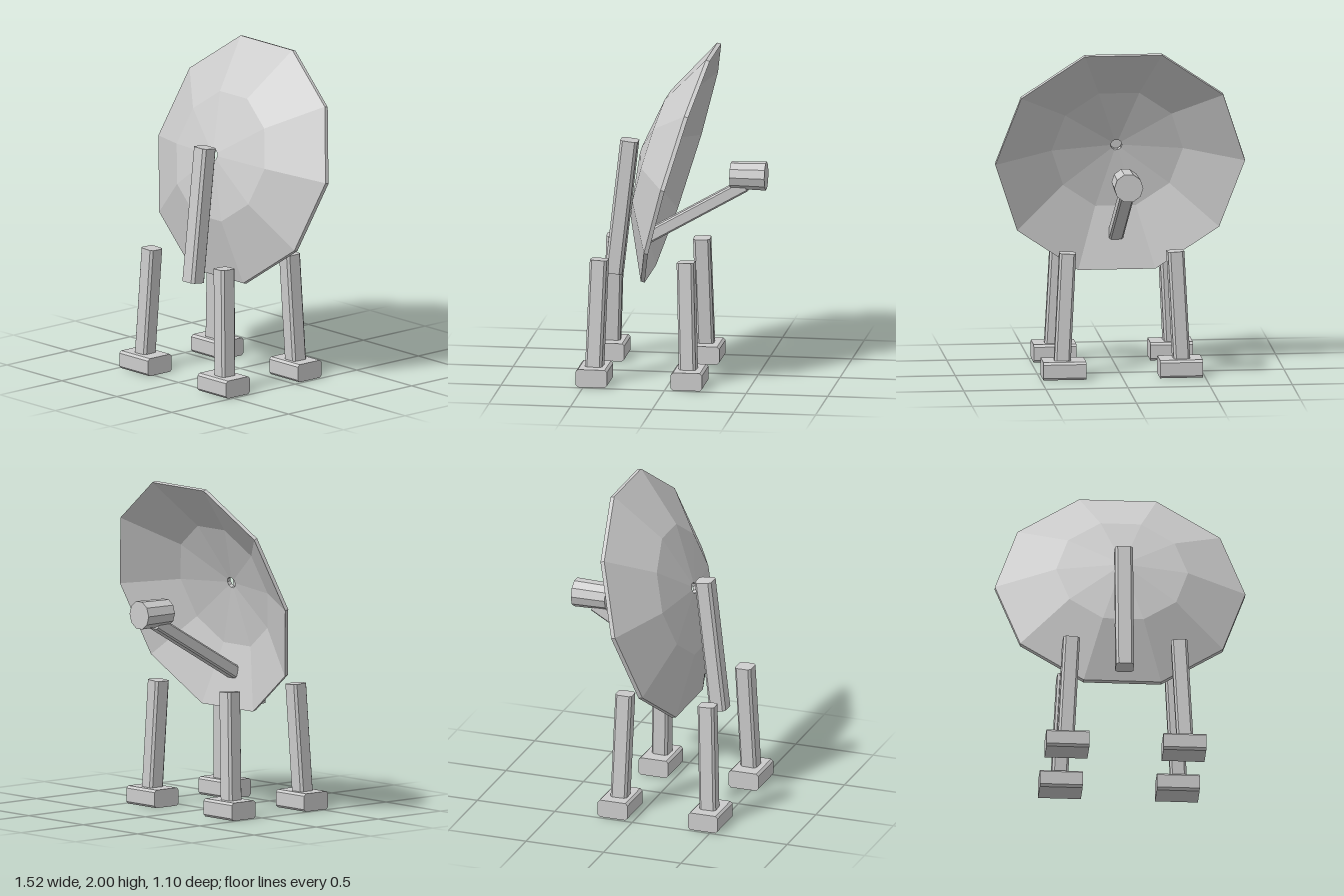
import * as THREE from 'three';

const grey = new THREE.MeshStandardMaterial({ color: 0xcccccc, flatShading: true });
grey.name = 'grey metal';

// Bar with chamfered long edges, running from one point to another
function bar(name, from, to, w, h, c = 0.014) {
  const a = new THREE.Vector3(...from), b = new THREE.Vector3(...to);
  const x = w / 2, y = h / 2;
  const section = new THREE.Shape([
    [x - c, -y], [x, -y + c], [x, y - c], [x - c, y],
    [-x + c, y], [-x, y - c], [-x, -y + c], [-x + c, -y],
  ].map(([px, py]) => new THREE.Vector2(px, py)));
  const geo = new THREE.ExtrudeGeometry(section, { depth: a.distanceTo(b), bevelEnabled: false });
  const mesh = new THREE.Mesh(geo, grey);
  mesh.name = name;
  mesh.position.copy(a);
  mesh.quaternion.setFromUnitVectors(new THREE.Vector3(0, 0, 1), b.clone().sub(a).normalize());
  return mesh;
}

export function createModel() {
  const model = new THREE.Group();
  model.name = 'dishAntenna';

  // Ten-sided dish shell with a small hole at its centre
  const profile = [
    [0.035, 0.215], [0.4, 0.155], [0.76, -0.025], [0.76, 0],
    [0.4, 0.18], [0.035, 0.24], [0.035, 0.215],
  ].map(([r, y]) => new THREE.Vector2(r, y));
  const dish = new THREE.Mesh(new THREE.LatheGeometry(profile, 10, Math.PI / 2), grey);
  dish.name = 'dish';
  dish.position.set(0, 1.307, -0.015);
  dish.rotation.x = Math.PI / 2 - THREE.MathUtils.degToRad(16);
  model.add(dish);

  // Support post against the convex side
  model.add(bar('supportPost', [0, 0.61, 0.381], [0, 1.435, 0.286], 0.11, 0.106, 0.016));

  // Receiver and the arm that carries it
  model.add(bar('receiverArm', [0, 0.818, 0.21], [0, 1.18, -0.42], 0.085, 0.078, 0.01));
  const receiver = new THREE.Mesh(
    new THREE.CylinderGeometry(0.083, 0.088, 0.215, 10, 1, false, Math.PI / 2), grey);
  receiver.name = 'receiver';
  receiver.rotation.x = Math.PI / 2;
  receiver.position.set(0, 1.238, -0.442);
  model.add(receiver);

  // Four splayed legs with block feet
  for (const s of [-1, 1]) {
    for (const [end, topZ, lowZ, footZ] of [['front', 0.423, 0.448, 0.45], ['rear', -0.108, -0.127, -0.132]]) {
      const side = s > 0 ? 'Left' : 'Right';
      model.add(bar(end + side + 'Leg', [s * 0.363, 0.08, lowZ], [s * 0.328, 0.764, topZ], 0.1, 0.104));
      model.add(bar(end + side + 'Foot', [s * 0.355 - 0.13, 0.055, footZ], [s * 0.355 + 0.13, 0.055, footZ], 0.192, 0.11));
    }
  }
  return model;
}
